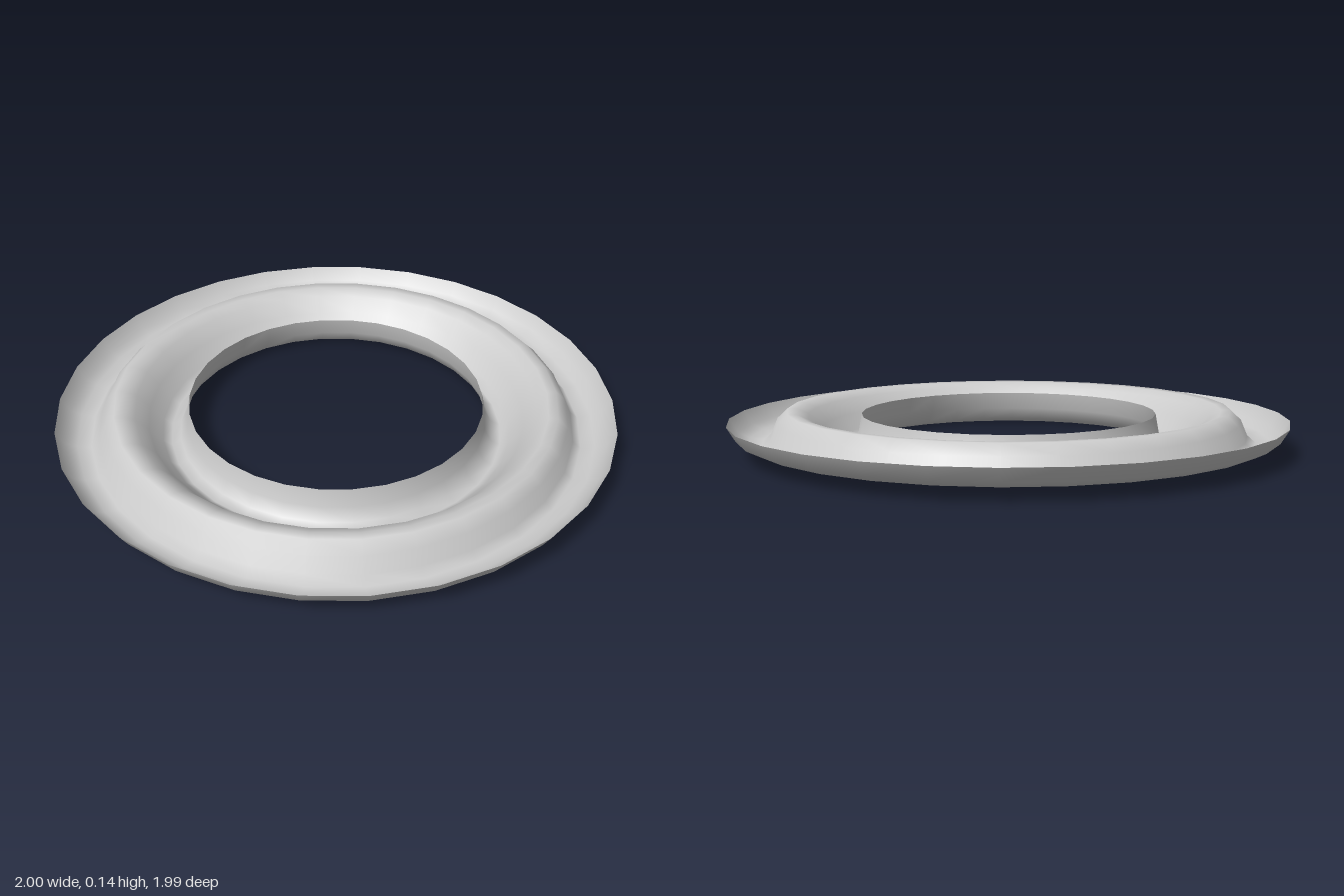
import * as THREE from 'three';

const SIDES = 30;

// Wavy cross-section from the inner lip to the outer rim: [radius, height]
const PROFILE = [
  [0.53, 0.125], [0.542, 0.06], [0.567, 0.015], [0.6, 0], [0.63, 0.023],
  [0.675, 0.075], [0.72, 0.125], [0.76, 0.143], [0.793, 0.145],
  [0.83, 0.11], [0.853, 0.055], [0.882, 0.03], [0.93, 0.04], [0.97, 0.06], [1, 0.11],
];

export function createModel() {
  const group = new THREE.Group();
  group.name = 'ribbedRing';

  // Thin pressed sheet, with a corner of the polygon on the x axis
  const points = PROFILE.map(([r, y]) => new THREE.Vector2(r, y));
  const geometry = new THREE.LatheGeometry(points.reverse(), SIDES, Math.PI / 2);
  const material = new THREE.MeshStandardMaterial({ color: 0xcccccc, side: THREE.DoubleSide });
  const ring = new THREE.Mesh(geometry, material);
  ring.name = 'pressedRing';
  group.add(ring);
  return group;
}
